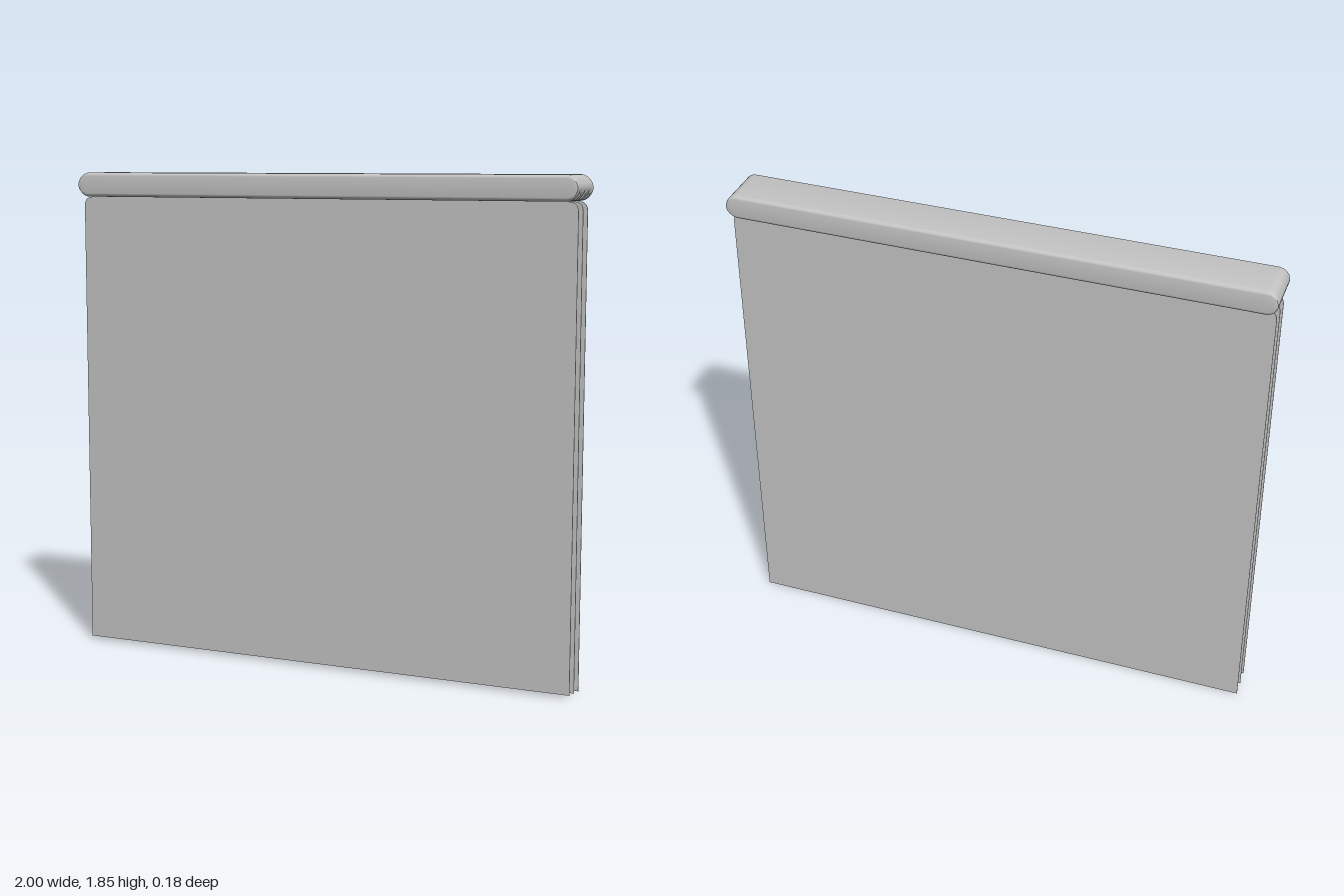
import * as THREE from 'three';
import { toCreasedNormals } from 'three/addons/utils/BufferGeometryUtils.js';

const SHEET_Z = [0.055, 0.002, -0.051];
const BAR = { mid: 1.804, halfH: 0.046, halfD: 0.09, endR: 0.042 };

// Bar cross-section as [z, y offset], with a slot in the underside for each sheet
function barProfile() {
  const { halfH: h, halfD: d } = BAR, r = 0.013, pts = [];
  const corner = (cz, cy, from) => {
    for (let i = 0; i <= 4; i++) {
      const a = from + (i / 4) * Math.PI / 2;
      pts.push([cz - r * Math.cos(a), cy + r * Math.sin(a)]);
    }
  };
  // counter-clockwise seen from +x: top front, bottom front, slots, bottom back, top back
  corner(d - r, h - r, Math.PI / 2);
  corner(d - r, -h + r, Math.PI);
  for (const z of SHEET_Z) {
    pts.push([z + 0.01, -h], [z + 0.006, -h + 0.018], [z - 0.006, -h + 0.018], [z - 0.01, -h]);
  }
  corner(-d + r, -h + r, Math.PI * 1.5);
  corner(-d + r, h - r, 0);
  return pts;
}

// Sweep the profile along x, closing it with half-round ends
function barGeometry() {
  const profile = barProfile(), n = profile.length, sections = [];
  const steps = 8;
  for (let i = 0; i <= steps; i++) {
    const a = (i / steps) * Math.PI / 2;
    sections.push([-(1 - BAR.endR + BAR.endR * Math.cos(a)), Math.sin(a)]);
  }
  for (let i = steps; i >= 0; i--) sections.push([-sections[i][0], sections[i][1]]);

  const pos = [], index = [];
  for (const [x, s] of sections) {
    for (const [z, y] of profile) pos.push(x, BAR.mid + y * s, z);
  }
  for (let i = 0; i < sections.length - 1; i++) {
    for (let j = 0; j < n; j++) {
      const k = (j + 1) % n;
      const a = i * n + j, b = i * n + k, c = b + n, d = a + n;
      index.push(a, b, c, a, c, d);
    }
  }
  const geo = new THREE.BufferGeometry();
  geo.setAttribute('position', new THREE.Float32BufferAttribute(pos, 3));
  geo.setIndex(index);
  return toCreasedNormals(geo, 0.6);
}

// Thin hanging sheet with its top corners rounded off
function sheetGeometry(bottom) {
  const w = 0.993, top = 1.785, r = 0.035, shoulder = 1.757;
  const s = new THREE.Shape();
  s.moveTo(-w, bottom);
  s.lineTo(w, bottom);
  s.lineTo(w, shoulder - r);
  s.quadraticCurveTo(w, shoulder, w - r, shoulder);
  s.lineTo(w - r, top);
  s.lineTo(-w + r, top);
  s.lineTo(-w + r, shoulder);
  s.quadraticCurveTo(-w, shoulder, -w, shoulder - r);
  s.closePath();
  const depth = 0.003;
  const geo = new THREE.ExtrudeGeometry(s, { depth, bevelEnabled: false, curveSegments: 5 });
  return geo.translate(0, 0, -depth / 2);
}

export function createModel() {
  const group = new THREE.Group();
  group.name = 'hangingSheets';
  const grey = new THREE.MeshStandardMaterial({ color: 0xc4c4c4 });
  grey.name = 'light grey';

  const bar = new THREE.Mesh(barGeometry(), grey);
  bar.name = 'topBar';
  group.add(bar);

  const names = ['frontSheet', 'middleSheet', 'backSheet'];
  SHEET_Z.forEach((z, i) => {
    const sheet = new THREE.Mesh(sheetGeometry([0.012, 0.006, 0][i]), grey);
    sheet.name = names[i];
    sheet.position.z = z;
    group.add(sheet);
  });
  return group;
}
